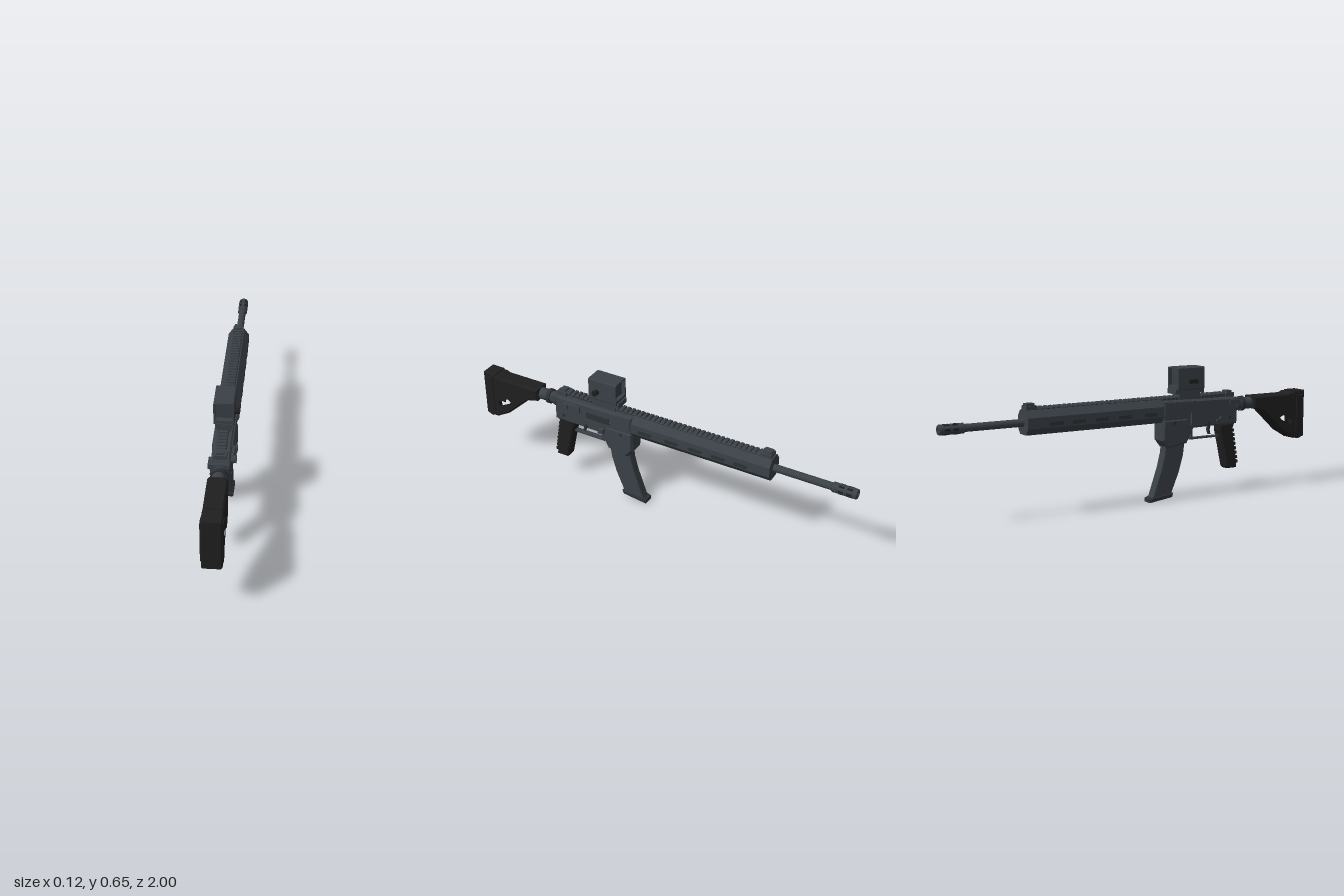
import * as THREE from 'three';

const mat = (name, color) => Object.assign(new THREE.MeshStandardMaterial({ color }), { name });

export function createModel() {
  const metal = mat('gunmetal', 0x3a4147);
  const steel = mat('dark steel', 0x2c3135);
  const polymer = mat('black polymer', 0x1f1f1f);
  const glass = mat('lens glass', 0x363e44);
  const model = new THREE.Group();
  model.name = 'rifle';
  const body = new THREE.Group();
  body.name = 'body';
  body.position.x = -0.006;
  model.add(body);

  const add = (name, geo, m, x = 0, y = 0, z = 0) => {
    const mesh = new THREE.Mesh(geo, m);
    mesh.name = name;
    mesh.position.set(x, y, z);
    body.add(mesh);
    return mesh;
  };
  const box = (name, m, w, h, d, x, y, z) => add(name, new THREE.BoxGeometry(w, h, d), m, x, y, z);
  // Cylinder along the z or x axis
  const rod = (name, m, r, len, x, y, z, axis = 'z', sides = 20) => {
    const g = new THREE.CylinderGeometry(r, r, len, sides);
    if (axis === 'z') g.rotateX(Math.PI / 2); else g.rotateZ(Math.PI / 2);
    return add(name, g, m, x, y, z);
  };
  // Side outline given as [z, y] points, extruded across x with a chamfer
  const side = (name, m, pts, width, bevel = 0.006, holes = [], x = 0) => {
    const v = list => list.map(([z, y]) => new THREE.Vector2(-z, y));
    const shape = new THREE.Shape(v(pts));
    shape.holes = holes.map(h => new THREE.Path(v(h)));
    const g = new THREE.ExtrudeGeometry(shape, {
      depth: width - 2 * bevel, bevelEnabled: bevel > 0, bevelSize: bevel,
      bevelThickness: bevel, bevelOffset: -bevel, bevelSegments: 1
    });
    g.translate(0, 0, -(width - 2 * bevel) / 2).rotateY(Math.PI / 2);
    return add(name, g, m, x);
  };
  // Cross-section given as [x, y] points, extruded along z
  const section = (name, m, pts, z0, z1, hole) => {
    const v = list => list.map(p => new THREE.Vector2(...p));
    const shape = new THREE.Shape(v(pts));
    if (hole) shape.holes.push(new THREE.Path(v(hole)));
    return add(name, new THREE.ExtrudeGeometry(shape, { depth: z1 - z0, bevelEnabled: false }), m, 0, 0, z0);
  };

  // Stock with its sling opening, butt pad and side bolts
  side('stock', polymer, [[0.98, 0.49], [0.91, 0.49], [0.89, 0.482], [0.675, 0.482], [0.675, 0.42], [0.735, 0.405],
    [0.86, 0.29], [0.935, 0.247], [0.98, 0.247]], 0.09, 0.008,
    [[[0.93, 0.345], [0.86, 0.383], [0.83, 0.362], [0.845, 0.345], [0.915, 0.31]]]);
  side('buttPad', polymer, [[1, 0.495], [0.93, 0.495], [0.93, 0.455], [0.965, 0.43], [0.965, 0.242], [1, 0.255]], 0.088, 0.005);
  for (const s of [-1, 1]) {
    side('stockSidePlate', polymer, [[0.985, 0.475], [0.945, 0.475], [0.945, 0.28], [0.985, 0.28]], 0.008, 0.002, [], s * 0.045);
    rod('stockBolt', polymer, 0.012, 0.006, s * 0.046, 0.455, 0.93, 'x');
  }

  // Stock tube and lock rings
  rod('stockTube', metal, 0.03, 0.15, 0, 0.447, 0.625);
  rod('lockRing', steel, 0.038, 0.02, 0, 0.447, 0.62, 'z', 12);
  rod('endPlate', metal, 0.037, 0.012, 0, 0.447, 0.58, 'z', 12);

  // Receiver with magazine well
  side('receiver', metal, [[0.565, 0.485], [0.13, 0.495], [0.13, 0.3], [0.16, 0.262], [0.27, 0.28],
    [0.31, 0.352], [0.57, 0.355], [0.57, 0.42]], 0.084, 0.007);
  side('magazineWell', metal, [[0.27, 0.40], [0.133, 0.40], [0.133, 0.305], [0.163, 0.268], [0.265, 0.284], [0.28, 0.33]], 0.094, 0.005);
  box('upperReceiver', metal, 0.092, 0.055, 0.3, 0, 0.455, 0.29);
  box('ejectionPortCover', steel, 0.006, 0.034, 0.13, 0.045, 0.435, 0.32);
  box('coverHinge', metal, 0.008, 0.007, 0.14, 0.046, 0.415, 0.32);
  for (const s of [-1, 1]) for (const [z, y] of [[0.52, 0.39], [0.19, 0.385], [0.39, 0.37]])
    rod('receiverPin', steel, 0.009, 0.012, s * 0.043, y, z, 'x', 12);

  // Controls
  rod('forwardAssist', metal, 0.018, 0.03, 0.052, 0.455, 0.5, 'x');
  box('forwardAssistHousing', metal, 0.018, 0.032, 0.09, 0.046, 0.455, 0.465);
  box('magazineRelease', metal, 0.016, 0.025, 0.03, 0.05, 0.372, 0.3);
  box('boltCatch', metal, 0.014, 0.06, 0.022, -0.046, 0.4, 0.3);
  rod('selectorHub', metal, 0.012, 0.016, -0.046, 0.385, 0.47, 'x');
  box('selectorLever', metal, 0.008, 0.012, 0.045, -0.051, 0.38, 0.46);
  box('chargingHandle', metal, 0.084, 0.02, 0.03, 0, 0.472, 0.575);
  box('chargingLatch', metal, 0.012, 0.022, 0.06, -0.047, 0.465, 0.55);

  // Grip with ridged back
  side('grip', polymer, [[0.57, 0.357], [0.475, 0.357], [0.472, 0.325], [0.49, 0.25], [0.515, 0.135], [0.525, 0.125],
    [0.585, 0.125], [0.583, 0.15], [0.565, 0.26], [0.557, 0.325]], 0.058, 0.009);
  for (let i = 0; i < 8; i++) {
    const y = 0.155 + i * 0.023;
    box('gripRidge', polymer, 0.044, 0.014, 0.02, 0, y, 0.583 - (y - 0.15) * 0.16).rotation.x = -0.16;
  }

  // Trigger and guard
  box('triggerGuard', metal, 0.026, 0.008, 0.18, 0, 0.294, 0.395);
  box('guardFrontPost', metal, 0.026, 0.065, 0.008, 0, 0.322, 0.315);
  side('trigger', steel, [[0.435, 0.36], [0.42, 0.36], [0.415, 0.33], [0.422, 0.307], [0.432, 0.307], [0.427, 0.33]], 0.014, 0);

  // Curved magazine and floor plate
  side('magazine', metal, [[0.27, 0.3], [0.158, 0.3], [0.15, 0.235], [0.132, 0.165], [0.082, 0.022], [0.19, 0.03],
    [0.235, 0.135], [0.26, 0.22]], 0.049, 0.005);
  side('magazineFloorPlate', steel, [[0.2, 0.036], [0.193, 0.016], [0.065, 0], [0.065, 0.018], [0.085, 0.025]], 0.06, 0.004);

  // Handguard with vent slots
  const hw = 0.052;
  section('handguard', metal, [[-0.03, 0.39], [0.03, 0.39], [hw, 0.42], [hw, 0.47], [0.028, 0.502],
    [-0.028, 0.502], [-hw, 0.47], [-hw, 0.42]], -0.595, 0.128);
  for (const s of [-1, 1]) for (const z of [0.055, -0.09, -0.215, -0.335, -0.45]) {
    box('ventSlot', steel, 0.004, 0.018, 0.054, s * hw, 0.437, z);
    for (const e of [-1, 1]) rod('ventSlotEnd', steel, 0.009, 0.004, s * hw, 0.437, z + e * 0.027, 'x', 12);
  }

  // Top rail and teeth
  box('railBase', metal, 0.034, 0.016, 1.13, 0, 0.497, -0.03);
  for (let z = -0.583; z < 0.51; z += 0.025)
    section('railTooth', metal, [[-0.018, 0.498], [0.018, 0.498], [0.024, 0.506], [0.019, 0.514],
      [-0.019, 0.514], [-0.024, 0.506]], z, z + 0.014);

  // Folded iron sights
  box('frontSightBase', metal, 0.05, 0.016, 0.055, 0, 0.513, -0.56);
  box('frontSightBlade', metal, 0.036, 0.014, 0.04, 0, 0.525, -0.564);
  box('rearSightBase', metal, 0.056, 0.02, 0.05, 0, 0.5, 0.535);
  box('rearSightLeaf', metal, 0.036, 0.012, 0.032, 0, 0.514, 0.535);

  // Optic: mount, hooded body, recessed lenses, knobs
  box('opticFoot', metal, 0.06, 0.03, 0.12, 0, 0.511, 0.29);
  box('opticMount', metal, 0.072, 0.025, 0.165, 0, 0.535, 0.287);
  section('opticHood', metal, [[-0.043, 0.543], [0.043, 0.543], [0.046, 0.547], [0.046, 0.648], [0.042, 0.652],
    [-0.042, 0.652], [-0.046, 0.648], [-0.046, 0.547]], 0.213, 0.365,
    [[-0.038, 0.562], [0.038, 0.562], [0.038, 0.645], [-0.038, 0.645]]);
  for (const z of [0.235, 0.335]) box('lens', glass, 0.077, 0.084, 0.008, 0, 0.6035, z);
  rod('opticKnob', polymer, 0.014, 0.026, 0.056, 0.589, 0.32, 'x');
  box('opticButtons', polymer, 0.008, 0.02, 0.05, -0.048, 0.582, 0.3);

  // Barrel and slotted muzzle device
  rod('barrel', metal, 0.018, 0.4, 0, 0.445, -0.76);
  const bore = [[0.01, -0.06], [0.021, -0.06], [0.024, -0.056], [0.024, 0.056], [0.021, 0.06], [0.01, 0.06], [0.01, -0.06]];
  const muzzle = new THREE.LatheGeometry(bore.map(p => new THREE.Vector2(...p)), 20).rotateX(Math.PI / 2);
  add('muzzleDevice', muzzle, metal, 0, 0.445, -0.94);
  for (let i = 0; i < 6; i++) {
    const a = i * Math.PI / 3;
    for (const z of [-0.925, -0.965])
      box('muzzleSlot', polymer, 0.004, 0.01, 0.026, Math.cos(a) * 0.0225, 0.445 + Math.sin(a) * 0.0225, z).rotation.z = a;
  }
  return model;
}
